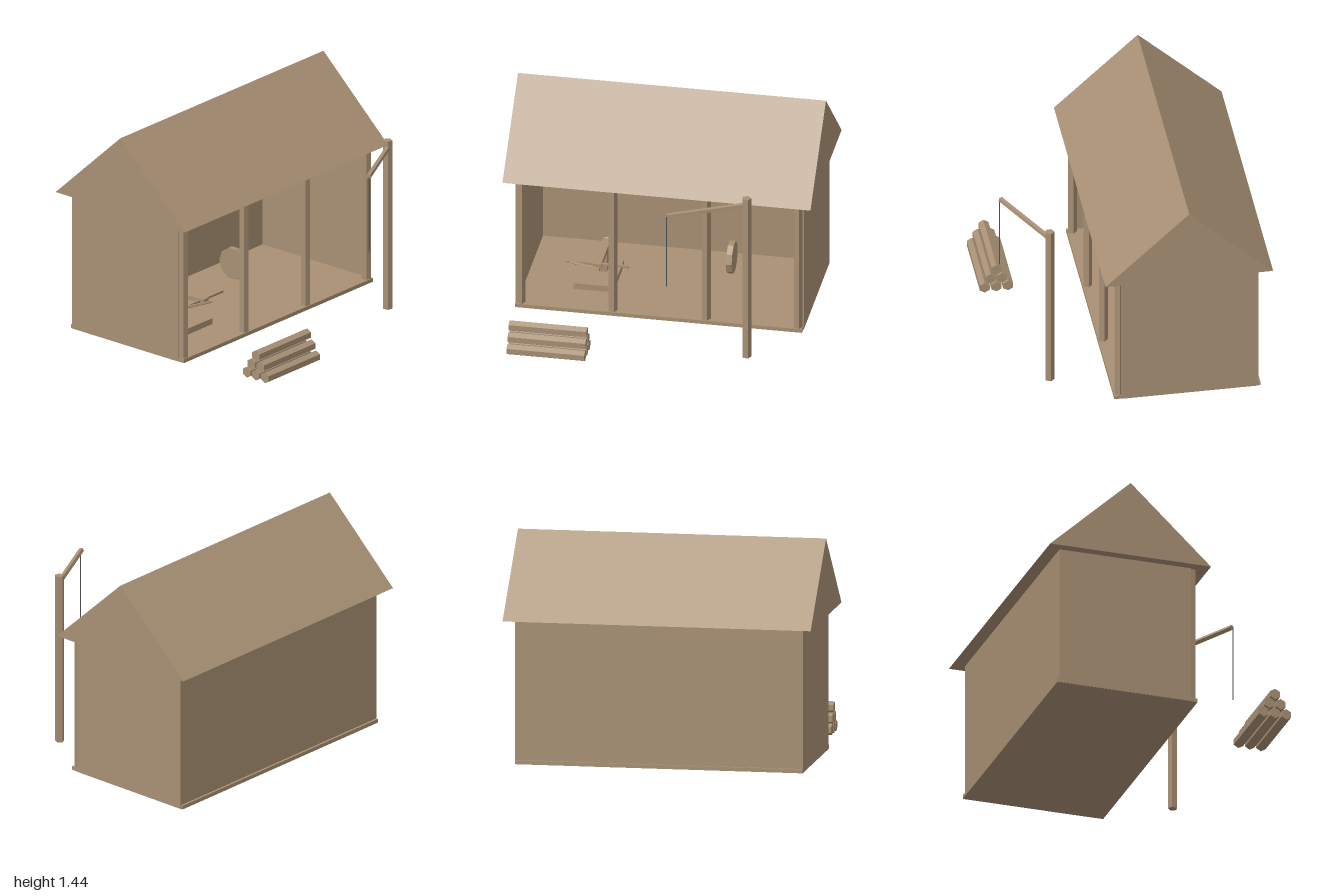
import * as THREE from 'three';

export function createModel() {
  const root = new THREE.Group();
  root.name = 'workshop';

  const mat = (name, color) => {
    const m = new THREE.MeshStandardMaterial({ color });
    m.name = name;
    m.flatShading = true;
    return m;
  };
  const wood = mat('wood', 0xa89074);
  const glass = mat('paleGlass', 0xcbcccb);
  const iron = mat('iron', 0xaab6be);
  const cord = mat('darkCord', 0x4c5258);

  const add = (name, geo, material, parent = root) => {
    const m = new THREE.Mesh(geo, material);
    m.name = name;
    parent.add(m);
    return m;
  };
  // Box given by its low and high corners
  const box = (name, a, b, material = wood, parent = root) => {
    const m = add(name, new THREE.BoxGeometry(b[0] - a[0], b[1] - a[1], b[2] - a[2]), material, parent);
    m.position.set((a[0] + b[0]) / 2, (a[1] + b[1]) / 2, (a[2] + b[2]) / 2);
    return m;
  };
  // Straight bar between two points
  const bar = (name, a, b, r, sides, material = wood, parent = root) => {
    const p = new THREE.Vector3(...a), q = new THREE.Vector3(...b);
    const d = q.clone().sub(p);
    const m = add(name, new THREE.CylinderGeometry(r, r, d.length(), sides), material, parent);
    m.position.copy(p).add(q).multiplyScalar(0.5);
    m.quaternion.setFromUnitVectors(new THREE.Vector3(0, 1, 0), d.normalize());
    return m;
  };
  // Upright five-sided post
  const post = (name, x, z, y0, y1, parent = root) => {
    const m = bar(name, [x, y0, z], [x, y1, z], 0.031, 5, wood, parent);
    m.rotation.set(0, THREE.MathUtils.degToRad(170), 0);
    return m;
  };

  // Floor and three walls, open at the front
  const house = new THREE.Group();
  house.name = 'house';
  root.add(house);
  box('floor', [-0.932, 0, -0.765], [0.932, 0.025, 0.182], wood, house);
  box('backWall', [-0.92, 0.001, -0.75], [0.92, 0.935, -0.735], wood, house);
  for (const s of [-1, 1]) {
    const x0 = s < 0 ? -0.936 : 0.92;
    box(s < 0 ? 'rightWall' : 'leftWall', [x0, 0.001, -0.75], [x0 + 0.016, 0.935, 0.135], wood, house);
  }
  for (const x of [-0.9, -0.303, 0.303, 0.9]) post('frontPost', x, 0.15, 0.025, 0.935, house);
  box('window', [-0.1, 0.545, -0.735], [0.1, 0.885, -0.729], glass, house);

  // Gable roof as a solid prism
  const gable = new THREE.Shape();
  gable.moveTo(-0.25, 0.935);
  gable.lineTo(0.835, 0.935);
  gable.lineTo(0.292, 1.443);
  gable.closePath();
  const roofGeo = new THREE.ExtrudeGeometry(gable, { depth: 2, bevelEnabled: false });
  roofGeo.translate(0, 0, -1).rotateY(Math.PI / 2);
  add('roof', roofGeo, wood, house);

  // Hoist with slanted arm and hanging cord
  const hoist = new THREE.Group();
  hoist.name = 'hoist';
  root.add(hoist);
  post('hoistPost', 0.641, 0.552, 0, 1.153, hoist);
  bar('hoistArm', [0.63, 1.104, 0.56], [0.17, 1.104, 0.79], 0.018, 5, wood, hoist);
  bar('hoistCord', [0.168, 0.595, 0.797], [0.168, 1.1, 0.797], 0.003, 6, cord, hoist);

  // Stack of six-sided logs
  const pile = new THREE.Group();
  pile.name = 'logPile';
  root.add(pile);
  for (let row = 0; row < 3; row++) {
    for (let i = 0; i < 3 - row; i++) {
      const geo = new THREE.CylinderGeometry(0.037, 0.037, 0.505, 6);
      geo.rotateY(Math.PI / 2).rotateZ(Math.PI / 2);
      add('log', geo, wood, pile).position.set(-0.612, 0.038 + row * 0.066, 0.653 + row * 0.038 + i * 0.0755);
    }
  }

  // Upright ten-sided wheel inside
  const wheelGeo = new THREE.CylinderGeometry(0.107, 0.107, 0.038, 10);
  wheelGeo.rotateY(Math.PI / 10).rotateZ(Math.PI / 2).rotateX(Math.PI / 10);
  add('wheel', wheelGeo, wood).position.set(0.351, 0.13, -0.49);

  // Tilt hammer on a base block
  const hammer = new THREE.Group();
  hammer.name = 'tiltHammer';
  root.add(hammer);
  box('hammerBase', [-0.6, 0.025, -0.445], [-0.34, 0.065, -0.08], wood, hammer);
  box('hammerSupport', [-0.468, 0.065, -0.315], [-0.418, 0.205, -0.265], wood, hammer);
  box('hammerBeam', [-0.468, 0.205, -0.4], [-0.416, 0.235, -0.05], wood, hammer);
  box('hammerHead', [-0.468, 0.16, -0.45], [-0.416, 0.215, -0.4], iron, hammer);
  box('crossBar', [-0.645, 0.213, -0.09], [-0.24, 0.228, -0.073], wood, hammer);
  bar('brace', [-0.64, 0.22, -0.085], [-0.42, 0.218, -0.02], 0.009, 5, wood, hammer);

  return root;
}
